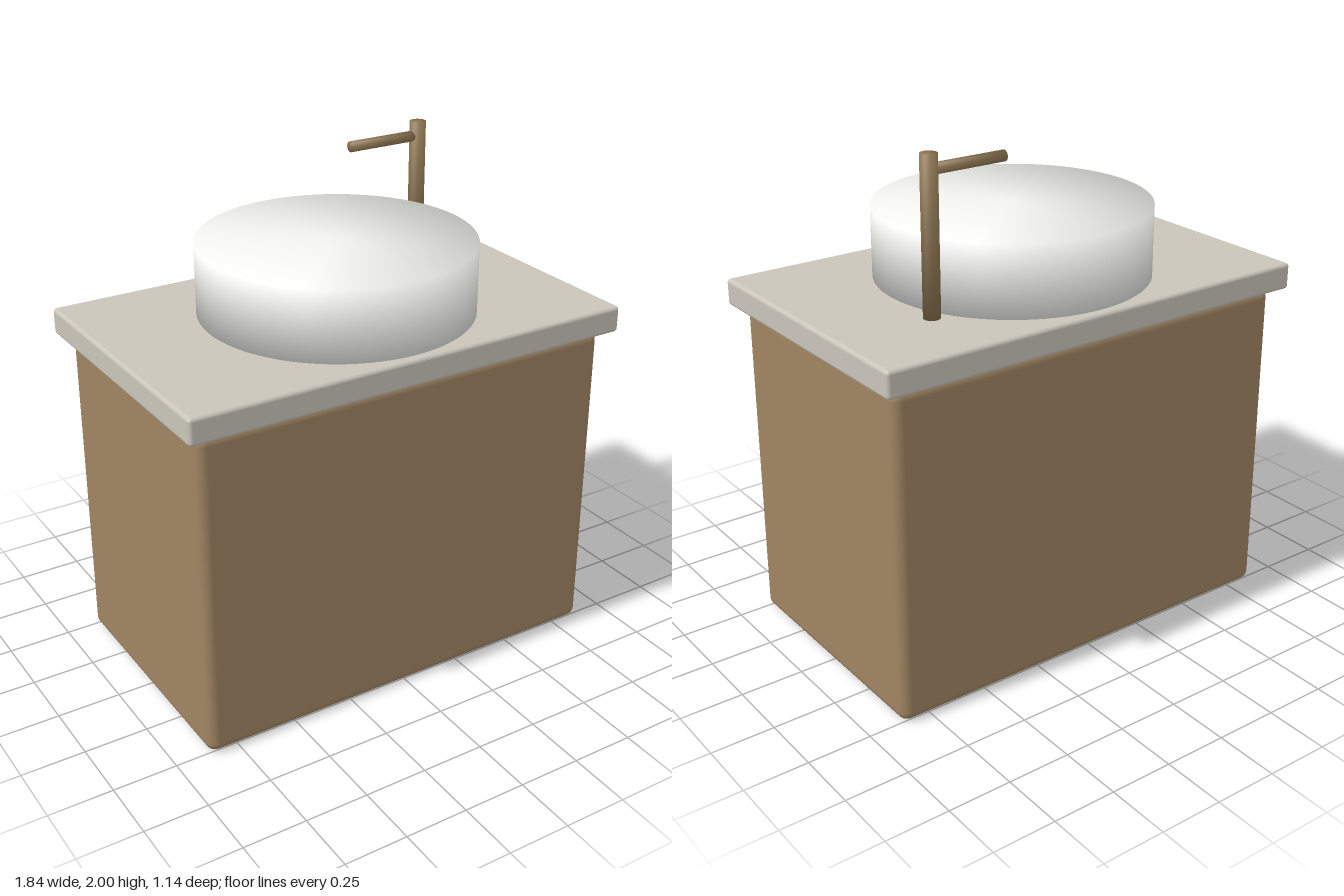
import * as THREE from 'three';
import { RoundedBoxGeometry } from 'three/addons/geometries/RoundedBoxGeometry.js';

const paint = (color) => new THREE.MeshStandardMaterial({ color });

function addPart(parent, name, geometry, material, x, y, z) {
  const mesh = new THREE.Mesh(geometry, material);
  mesh.name = name;
  mesh.position.set(x, y, z);
  parent.add(mesh);
  return mesh;
}

// Solid cylinder whose caps and wall share normals, so the shading rolls softly over the rims
function softCylinder(radius, height, segments) {
  const geometry = new THREE.CylinderGeometry(radius, radius, height, segments);
  const { position, normal } = geometry.attributes;
  for (let i = 0; i < position.count; i++) {
    normal.setXYZ(
      i,
      position.getX(i) / radius * Math.SQRT1_2,
      Math.sign(position.getY(i)) * Math.SQRT1_2,
      position.getZ(i) / radius * Math.SQRT1_2
    );
  }
  return geometry;
}

export function createModel() {
  const model = new THREE.Group();
  model.name = 'washbasinVanity';

  const wood = paint(0xa08562);
  const stone = paint(0xc9c5ba);
  const ceramic = paint(0xf2f2ee);
  const bronze = paint(0x8c7450);

  // Cabinet and overhanging countertop
  addPart(model, 'cabinet', new RoundedBoxGeometry(1.74, 1.305, 1.04, 4, 0.04), wood, 0, 0.6525, 0);
  addPart(model, 'countertop', new RoundedBoxGeometry(1.838, 0.105, 1.136, 4, 0.015), stone, 0, 1.3575, 0);

  // Round vessel basin
  addPart(model, 'basin', softCylinder(0.532, 0.277, 96), ceramic, 0, 1.5485, 0);

  // Tap: upright post with a spout reaching over the basin
  const tap = new THREE.Group();
  tap.name = 'tap';
  tap.position.set(0.529, 1.41, -0.243);
  addPart(tap, 'tapPost', softCylinder(0.032, 0.59, 32), bronze, 0, 0.295, 0);
  const spout = addPart(tap, 'tapSpout', softCylinder(0.021, 0.315, 32), bronze, -0.1575, 0.533, 0);
  spout.rotation.z = Math.PI / 2;
  model.add(tap);

  return model;
}
